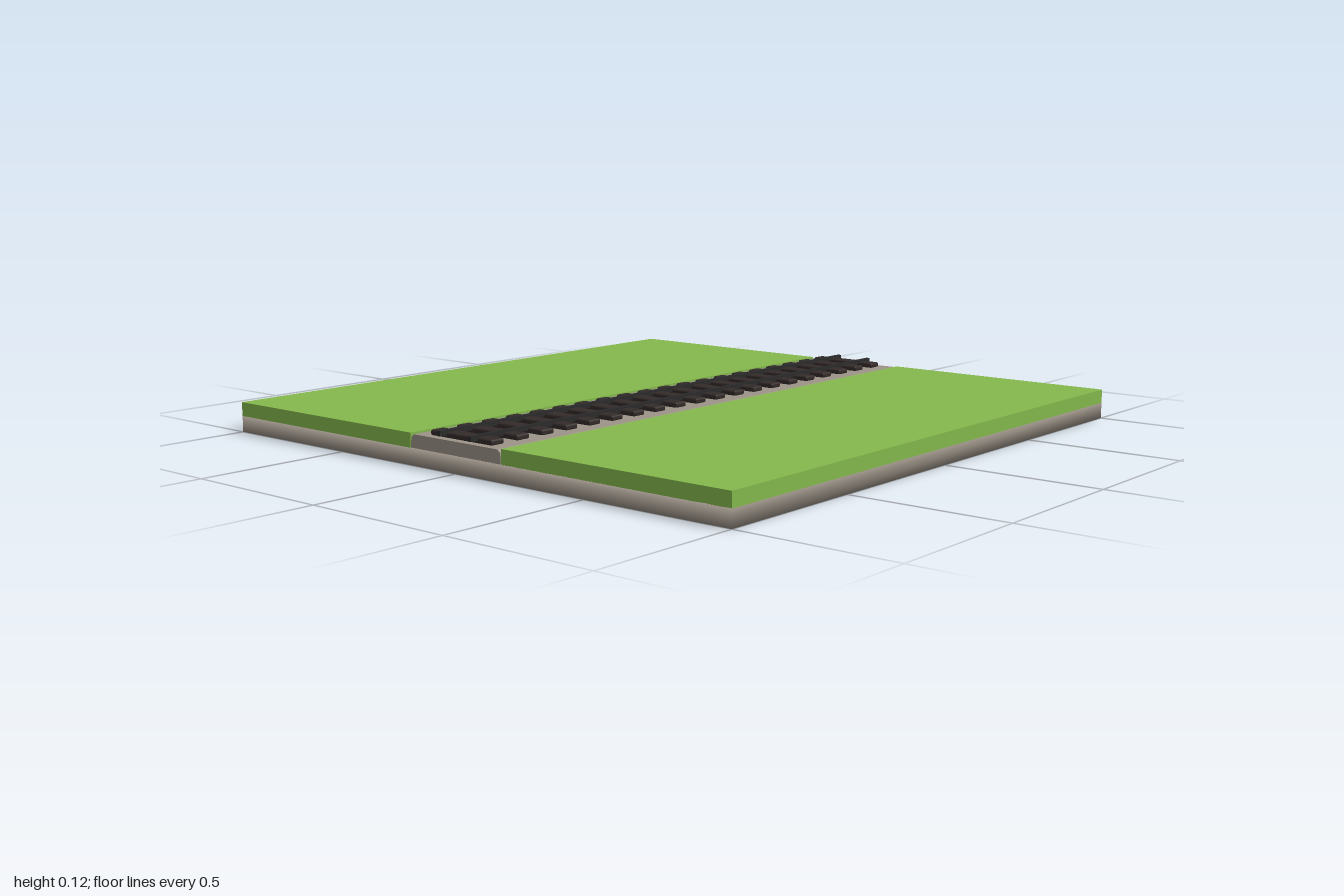
import * as THREE from 'three';
import { mergeVertices } from 'three/addons/utils/BufferGeometryUtils.js';
import { RoundedBoxGeometry } from 'three/addons/geometries/RoundedBoxGeometry.js';

const paint = (color) => new THREE.MeshStandardMaterial({ color });

export function createModel() {
  const model = new THREE.Group();
  const stone = paint(0x9c9388);
  const grass = paint(0x84b84c);
  const wood = paint(0x332b29);
  const steel = paint(0x2b2b2b);

  const add = (name, geometry, material, x, y, z, parent = model) => {
    const mesh = new THREE.Mesh(geometry, material);
    mesh.name = name;
    mesh.position.set(x, y, z);
    parent.add(mesh);
    return mesh;
  };

  // Base slab, with normals shared across its corners
  let slab = new THREE.BoxGeometry(2, 0.053, 2);
  slab.deleteAttribute('normal');
  slab.deleteAttribute('uv');
  slab = mergeVertices(slab);
  slab.computeVertexNormals();
  add('base', slab, stone, 0, 0.0265, 0);

  // Grass on both sides of the track
  const lawn = new THREE.BoxGeometry(2, 0.045, 0.812);
  add('frontGrass', lawn, grass, 0, 0.0745, 0.594);
  add('backGrass', lawn, grass, 0, 0.0745, -0.594);

  // Gravel bed with chamfered shoulders, extruded along the track
  const bed = new THREE.Shape([
    [-0.186, 0.05], [0.186, 0.05], [0.186, 0.07], [0.183, 0.086], [0.173, 0.094],
    [-0.173, 0.094], [-0.183, 0.086], [-0.186, 0.07],
  ].map(([z, y]) => new THREE.Vector2(z, y)));
  const bedGeometry = new THREE.ExtrudeGeometry(bed, { depth: 2, bevelEnabled: false });
  bedGeometry.translate(0, 0, -1).rotateY(Math.PI / 2);
  add('gravelBed', bedGeometry, stone, 0, 0, 0);

  // Sleepers, evenly spaced
  const sleepers = new THREE.Group();
  sleepers.name = 'sleepers';
  model.add(sleepers);
  const sleeper = new RoundedBoxGeometry(0.05, 0.018, 0.255, 2, 0.006);
  for (let i = 0; i < 20; i++) {
    add('sleeper', sleeper, wood, -0.95 + i * 0.1, 0.101, -0.002, sleepers);
  }

  // Two rails
  const rail = new THREE.BoxGeometry(2, 0.016, 0.013);
  add('frontRail', rail, steel, 0, 0.109, 0.062);
  add('backRail', rail, steel, 0, 0.109, -0.066);

  return model;
}
